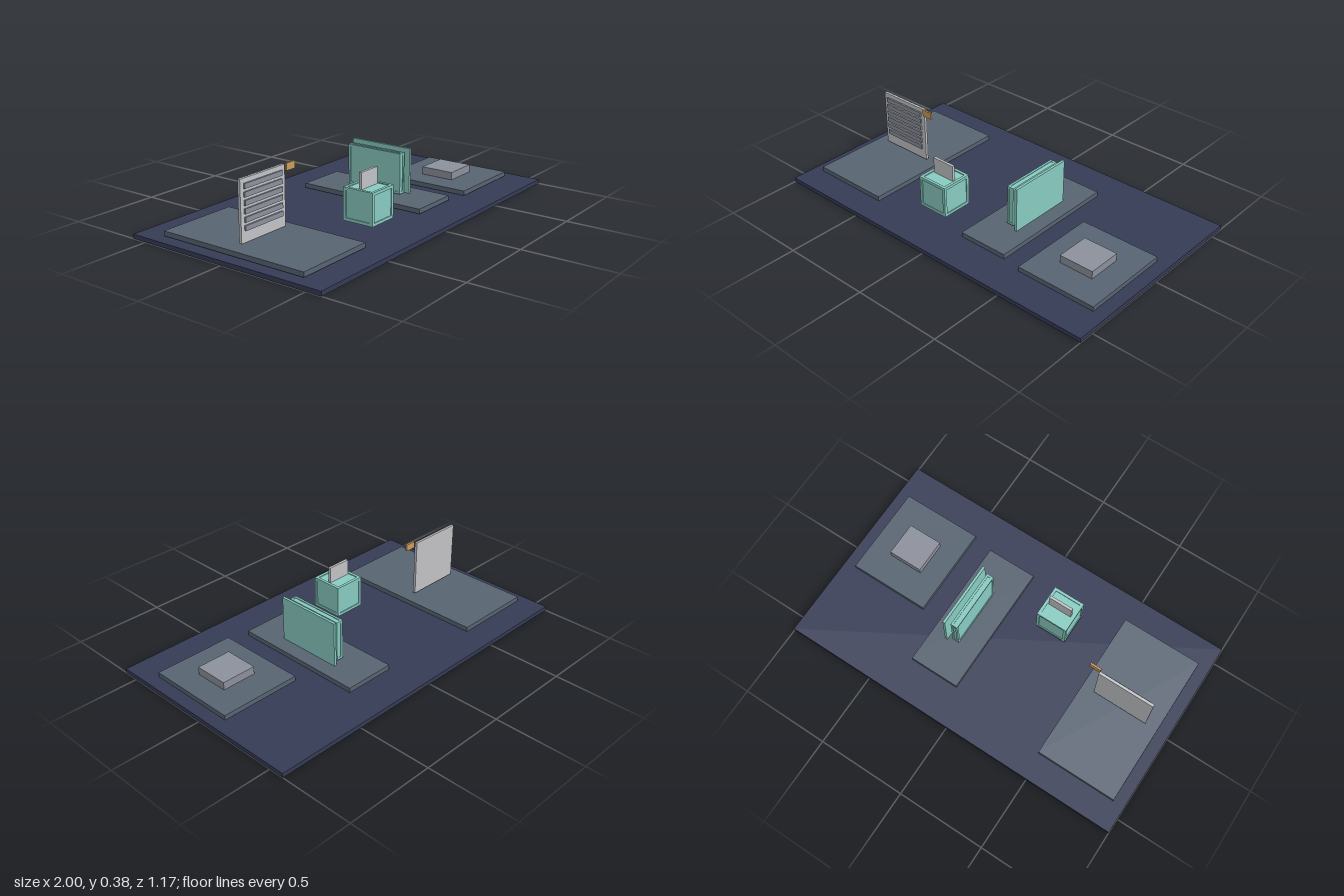
import * as THREE from 'three';

const mat = (name, color) => {
  const m = new THREE.MeshStandardMaterial({ color });
  m.name = name;
  return m;
};

export function createModel() {
  const navy = mat('navy', 0x363b56);
  const slate = mat('slate', 0x586472);
  const teal = mat('teal', 0x88cbc1);
  const grey = mat('light grey', 0xc2c3c6);
  const steel = mat('steel grey', 0x8c909c);
  const amber = mat('amber', 0xc99c5c);

  const model = new THREE.Group();
  model.name = 'displayBoard';

  // Box given by its lower and upper limits on each axis
  const block = (parent, name, material, [x0, x1], [y0, y1], [z0, z1]) => {
    const mesh = new THREE.Mesh(new THREE.BoxGeometry(x1 - x0, y1 - y0, z1 - z0), material);
    mesh.position.set((x0 + x1) / 2, (y0 + y1) / 2, (z0 + z1) / 2);
    mesh.name = name;
    parent.add(mesh);
  };

  // Box with a slim raised bar along each of its twelve edges
  const framedBox = (name, center, size, bar) => {
    const group = new THREE.Group();
    group.name = name;
    group.position.set(...center);
    const inset = bar * 0.3;
    const h = size.map((s) => s / 2 - inset);
    block(group, 'body', teal, [-h[0], h[0]], [-h[1], h[1]], [-h[2], h[2]]);
    for (let axis = 0; axis < 3; axis++) {
      for (const a of [-1, 1]) for (const b of [-1, 1]) {
        const dims = [bar, bar, bar];
        dims[axis] = size[axis];
        const pos = [0, 0, 0];
        const u = (axis + 1) % 3, v = (axis + 2) % 3;
        pos[u] = a * (size[u] - bar) / 2;
        pos[v] = b * (size[v] - bar) / 2;
        const edge = new THREE.Mesh(new THREE.BoxGeometry(...dims), teal);
        edge.position.set(...pos);
        edge.name = 'edgeBar';
        group.add(edge);
      }
    }
    model.add(group);
  };

  // Base board and the three pads on it
  block(model, 'baseBoard', navy, [-1, 1], [0, 0.024], [-0.585, 0.585]);
  block(model, 'leftPad', slate, [-0.935, -0.48], [0.028, 0.054], [-0.437, 0.437]);
  block(model, 'middlePad', slate, [0.075, 0.36], [0.028, 0.054], [-0.377, 0.377]);
  block(model, 'rightPad', slate, [0.475, 0.93], [0.028, 0.054], [-0.11, 0.403]);

  // Upright panel with six slats and a tag at its upper corner
  block(model, 'panel', grey, [-0.865, -0.55], [0.064, 0.379], [-0.007, 0.008]);
  for (let i = 0; i < 6; i++) {
    const y = 0.137 + i * 0.041;
    block(model, 'slat', steel, [-0.842, -0.576], [y - 0.013, y + 0.013], [0.007, 0.017]);
  }
  block(model, 'tag', amber, [-0.55, -0.488], [0.347, 0.385], [0.01, 0.021]);

  // Cube with a card standing out of its top
  framedBox('cube', [-0.18, 0.132, 0.237], [0.18, 0.176, 0.18], 0.016);
  block(model, 'card', grey, [-0.248, -0.112], [0.2, 0.305], [0.228, 0.243]);

  // Framed slab and the thin sheet beside it
  framedBox('slab', [0.218, 0.174, 0], [0.04, 0.224, 0.34], 0.012);
  block(model, 'sheet', teal, [0.262, 0.276], [0.054, 0.303], [-0.187, 0.187]);

  // Low block on the right pad
  block(model, 'lowBlock', steel, [0.604, 0.8], [0.056, 0.099], [0.05, 0.244]);

  return model;
}
